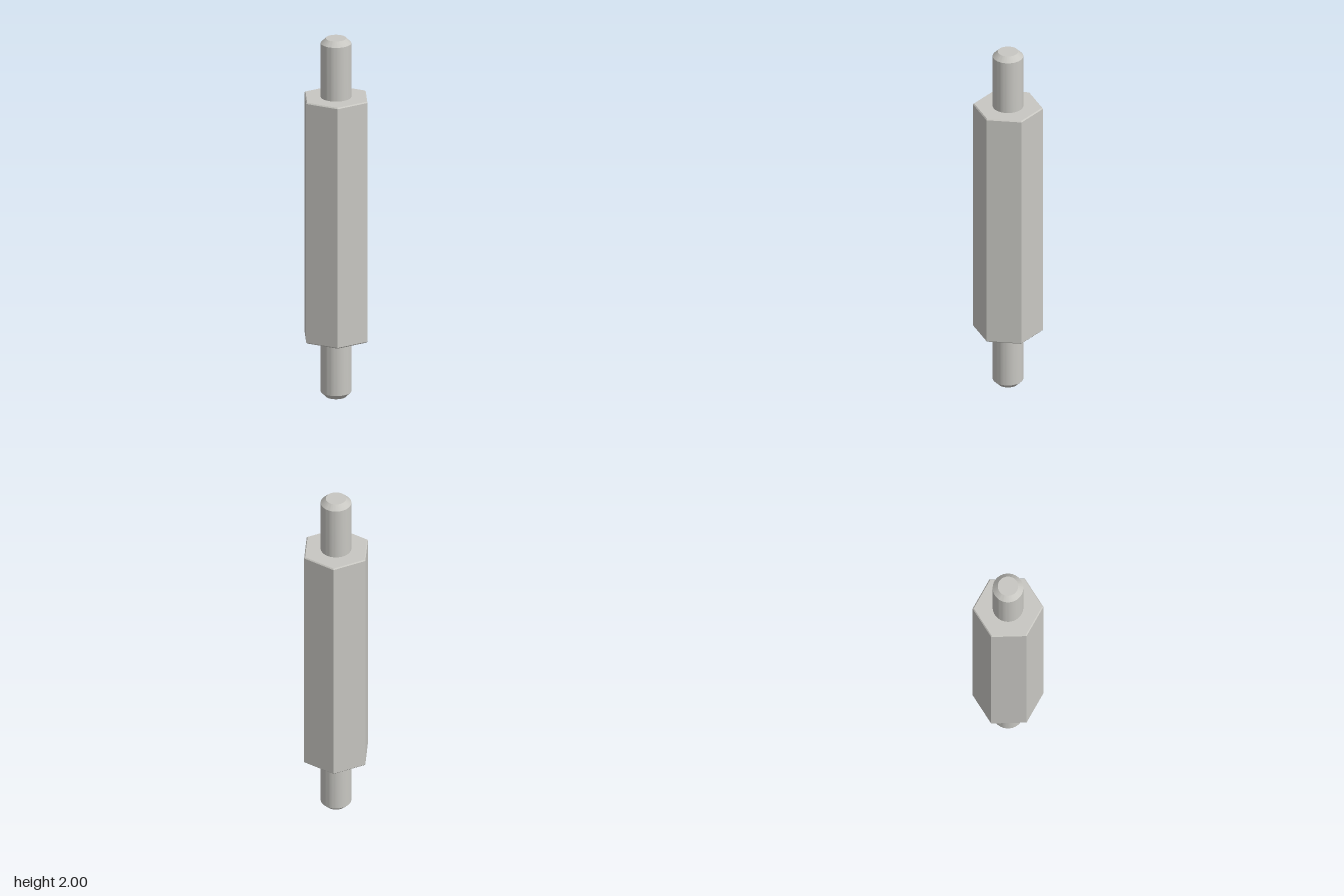
import * as THREE from 'three';
import { toCreasedNormals } from 'three/addons/utils/BufferGeometryUtils.js';

const MID = 1, HEX_HALF = 0.673;

// Revolve a bottom-to-top profile, keeping chamfer edges crisp
function turned(name, profile, sides, phiStart, material) {
  const points = profile.map(([r, y]) => new THREE.Vector2(r, y));
  const geometry = toCreasedNormals(new THREE.LatheGeometry(points, sides, phiStart), 0.5);
  const mesh = new THREE.Mesh(geometry, material);
  mesh.name = name;
  return mesh;
}

export function createModel() {
  const group = new THREE.Group();
  group.name = 'hexStandoff';
  const metal = new THREE.MeshStandardMaterial({ color: 0xc8c7c2 });
  metal.name = 'light grey metal';

  // Hexagonal body with corners on the x axis and finely chamfered ends
  const r = 0.187, c = 0.006;
  const body = turned('hexBody', [
    [0, -HEX_HALF], [r - c, -HEX_HALF], [r, -HEX_HALF + c],
    [r, HEX_HALF - c], [r - c, HEX_HALF], [0, HEX_HALF],
  ], 6, Math.PI / 2, metal);
  body.position.y = MID;
  group.add(body);

  // Round studs with chamfered tips, one at each end
  const studProfile = [[0.081, HEX_HALF], [0.081, 0.973], [0.054, 1], [0, 1]];
  for (const [name, turn] of [['topStud', 0], ['bottomStud', Math.PI]]) {
    const stud = turned(name, studProfile, 64, 0, metal);
    stud.position.y = MID;
    stud.rotation.x = turn;
    group.add(stud);
  }
  return group;
}
